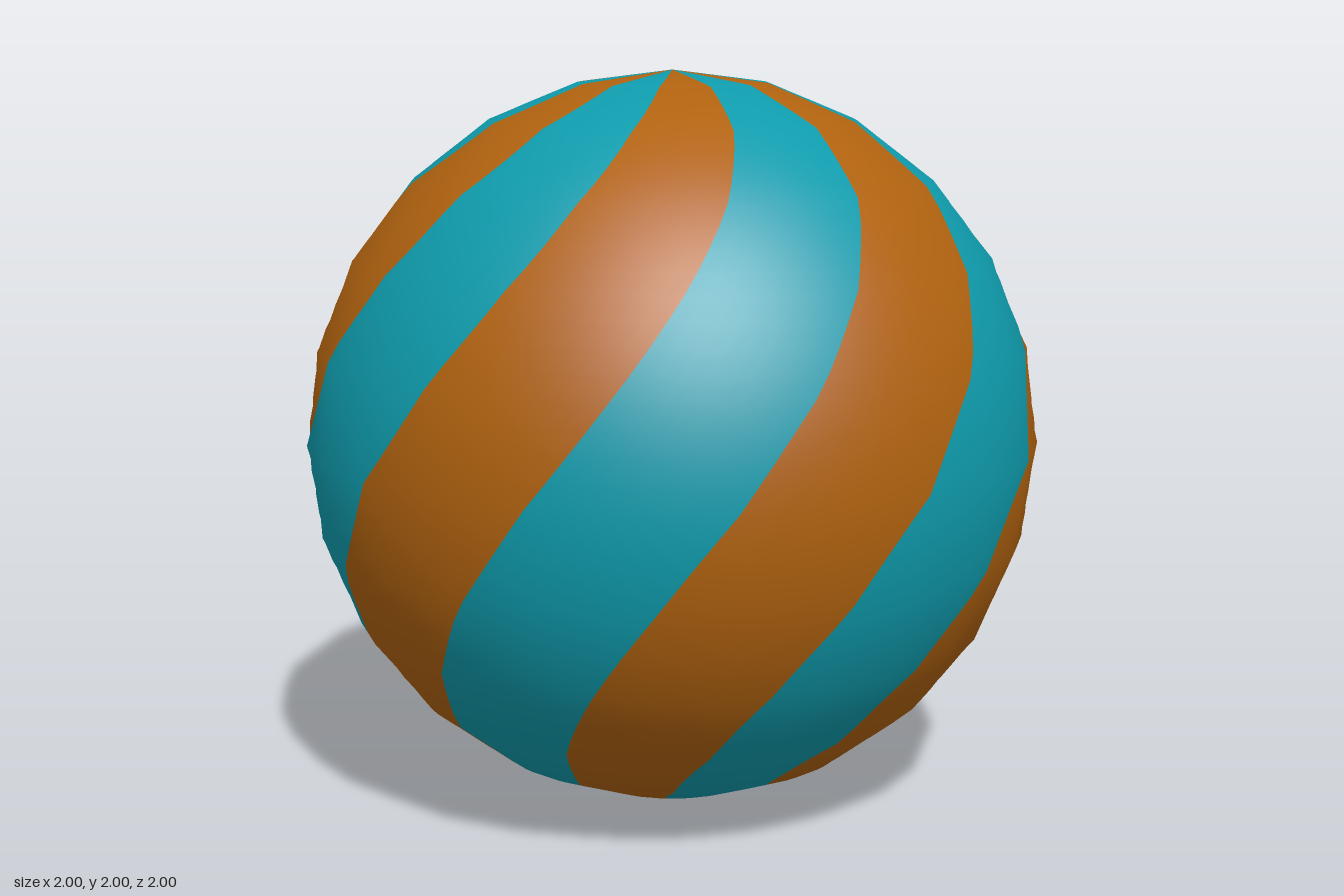
import * as THREE from 'three';

const STRIPES = 12;
const RINGS = 12;      // flat bands from pole to pole
const SIDES = 24;      // facets around
const TWIST = Math.PI / 4; // stripe swing from equator to pole

// Point on the smooth ball
function spherePoint(lat, lon) {
  const r = Math.cos(lat);
  return new THREE.Vector3(r * Math.sin(lon), Math.sin(lat), r * Math.cos(lon));
}

// Point on the faceted ball: blend of the four corners of the enclosing facet.
// row runs 0..RINGS from the bottom pole, lon is in radians.
function facetPoint(row, lon) {
  const j = Math.min(RINGS - 1, Math.floor(row));
  const col = lon / (2 * Math.PI) * SIDES;
  const i = Math.floor(col);
  const corner = (a, b) => spherePoint((b / RINGS - 0.5) * Math.PI, a / SIDES * 2 * Math.PI);
  const low = corner(i, j).lerp(corner(i + 1, j), col - i);
  const high = corner(i, j + 1).lerp(corner(i + 1, j + 1), col - i);
  return low.lerp(high, row - j);
}

// Stripe edges swing in proportion to height, straight across each band
function swing(row) {
  const j = Math.min(RINGS - 1, Math.floor(row));
  const at = (b) => TWIST * Math.sin((b / RINGS - 0.5) * Math.PI);
  return THREE.MathUtils.lerp(at(j), at(j + 1), row - j);
}

// One twisted stripe, wrapped from a flat grid onto the ball
function stripeGeometry(k) {
  const geo = new THREE.PlaneGeometry(1, 1, 8, RINGS * 4);
  const { position, normal, uv } = geo.attributes;
  for (let n = 0; n < position.count; n++) {
    const row = Math.round(uv.getY(n) * RINGS * 4) / 4;
    const lon = (k + uv.getX(n)) * 2 * Math.PI / STRIPES + swing(row);
    const p = facetPoint(row, lon);
    position.setXYZ(n, p.x, p.y, p.z);
    p.normalize();
    normal.setXYZ(n, p.x, p.y, p.z);
  }
  return geo;
}

export function createModel() {
  const teal = new THREE.MeshStandardMaterial({ color: 0x0f9bac });
  teal.name = 'teal';
  const orange = new THREE.MeshStandardMaterial({ color: 0xb0620f });
  orange.name = 'orange';

  const ball = new THREE.Group();
  ball.name = 'stripedBall';
  for (let k = 0; k < STRIPES; k++) {
    const stripe = new THREE.Mesh(stripeGeometry(k), k % 2 ? orange : teal);
    stripe.name = k % 2 ? 'orangeStripe' : 'tealStripe';
    stripe.position.y = 1;
    ball.add(stripe);
  }
  return ball;
}
